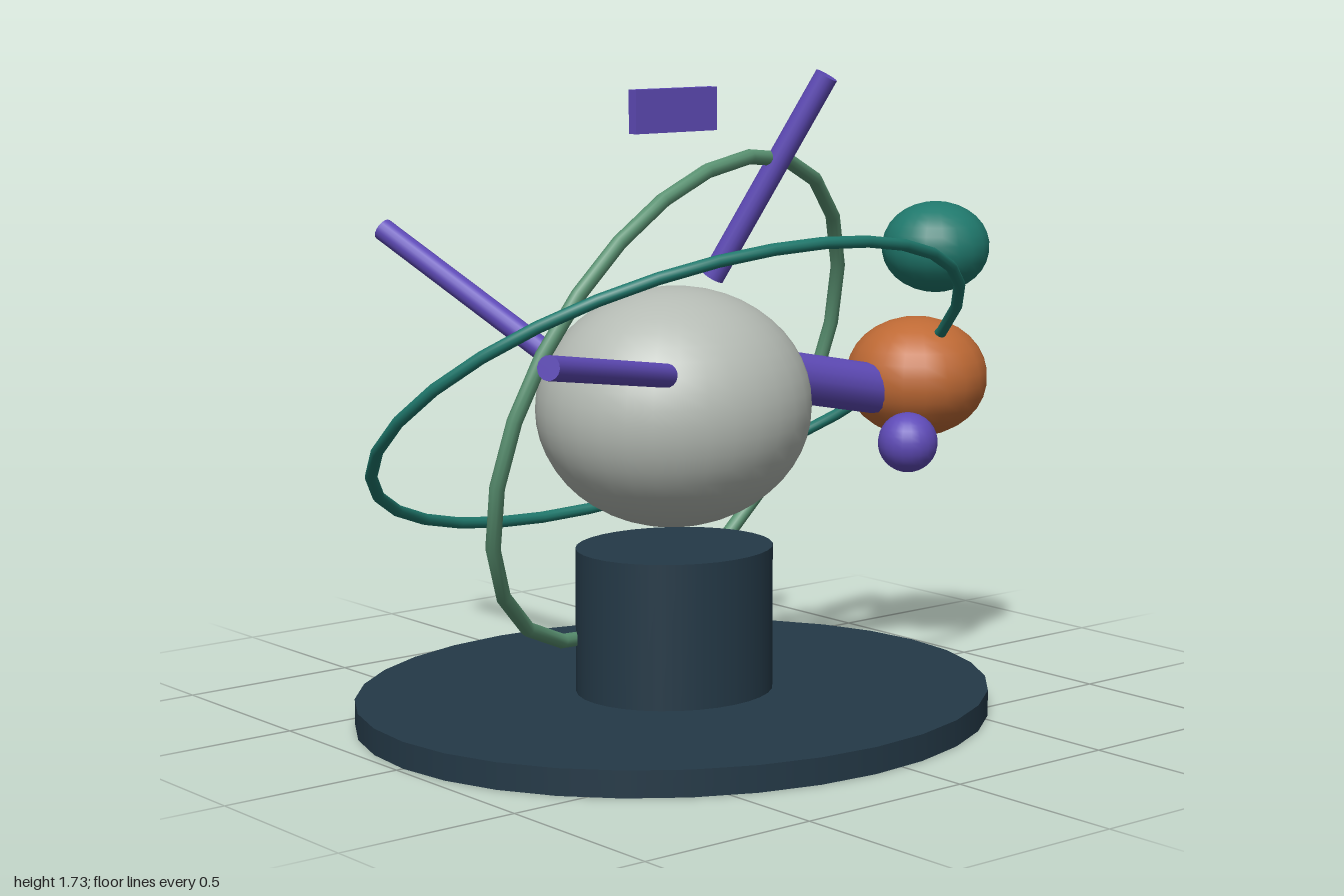
import * as THREE from 'three';

const CX = -0.095; // axis shared by base, core and rings

function material(name, color) {
  const m = new THREE.MeshStandardMaterial({ color });
  m.name = name;
  return m;
}

// Closed ellipse: centre + u cos t + v sin t
class LoopCurve extends THREE.Curve {
  constructor(centre, u, v) {
    super();
    Object.assign(this, { centre, u, v });
  }
  getPoint(t, target = new THREE.Vector3()) {
    const a = t * Math.PI * 2;
    return target.copy(this.centre)
      .addScaledVector(this.u, Math.cos(a))
      .addScaledVector(this.v, Math.sin(a));
  }
}

export function createModel() {
  const group = new THREE.Group();
  const slate = material('dark slate', 0x243947);
  const grey = material('pale grey', 0xb5bbb4);
  const purple = material('purple', 0x5f4bb8);
  const teal = material('teal', 0x20796d);
  const sage = material('sage green', 0x5a9272);
  const orange = material('orange', 0xbf6a35);
  const V = (x, y, z) => new THREE.Vector3(x, y, z);

  function add(name, geometry, mat) {
    const mesh = new THREE.Mesh(geometry, mat);
    mesh.name = name;
    group.add(mesh);
    return mesh;
  }
  function ball(name, pos, radii, mat, seg = 20) {
    const g = new THREE.SphereGeometry(1, seg, Math.round(seg * 0.75));
    g.scale(...radii);
    add(name, g, mat).position.set(...pos);
  }
  function disc(name, rx, rz, y0, y1) {
    const g = new THREE.CylinderGeometry(1, 1, y1 - y0, 32);
    g.scale(rx, 1, rz);
    add(name, g, slate).position.set(CX, (y0 + y1) / 2, 0);
  }
  function rod(name, from, to, r) {
    const dir = to.clone().sub(from);
    const mesh = add(name, new THREE.CylinderGeometry(r, r, dir.length(), 16), purple);
    mesh.position.copy(from).add(to).multiplyScalar(0.5);
    mesh.quaternion.setFromUnitVectors(V(0, 1, 0), dir.normalize());
  }
  function ring(name, centre, u, v, r, segments, mat) {
    add(name, new THREE.TubeGeometry(new LoopCurve(centre, u, v), segments, r, 10, true), mat);
  }

  // Stand
  disc('base', 0.885, 0.8, 0, 0.07);
  disc('pedestal', 0.275, 0.25, 0.07, 0.46);

  // Core and surrounding balls
  ball('core', [CX, 0.838, 0], [0.383, 0.321, 0.348], grey, 32);
  ball('orangeBall', [0.795, 0.837, 0], [0.203, 0.171, 0.203], orange);
  ball('tealBall', [0.623, 1.238, 0.25], [0.15, 0.124, 0.146], teal);
  ball('smallBall', [0.366, 0.745, 0.417], [0.08, 0.08, 0.08], purple);

  // Tilted rings
  ring('steepRing', V(CX, 0.855, 0), V(0.677, 0.142, -0.128), V(0, 0.635, 0.185), 0.02, 24, sage);
  ring('shallowRing', V(CX, 0.885, 0), V(0.885, 0, 0), V(0, 0.435, 0.59), 0.016, 32, teal);

  // Arm to the orange ball, and three thin rods
  rod('arm', V(0.18, 0.906, 0), V(0.7, 0.803, 0), 0.07);
  rod('upperRod', V(0.034, 1.175, 0.004), V(0.223, 1.715, 0.245), 0.031);
  rod('frontRod', V(-0.32, 0.968, 0.245), V(-0.888, 1.067, 0.5), 0.031);
  rod('backRod', V(-0.33, 0.97, -0.235), V(-0.515, 1.282, -0.748), 0.031);

  // Floating plate
  add('plate', new THREE.BoxGeometry(0.275, 0.115, 0.03), purple).position.set(-0.097, 1.625, 0);

  return group;
}
